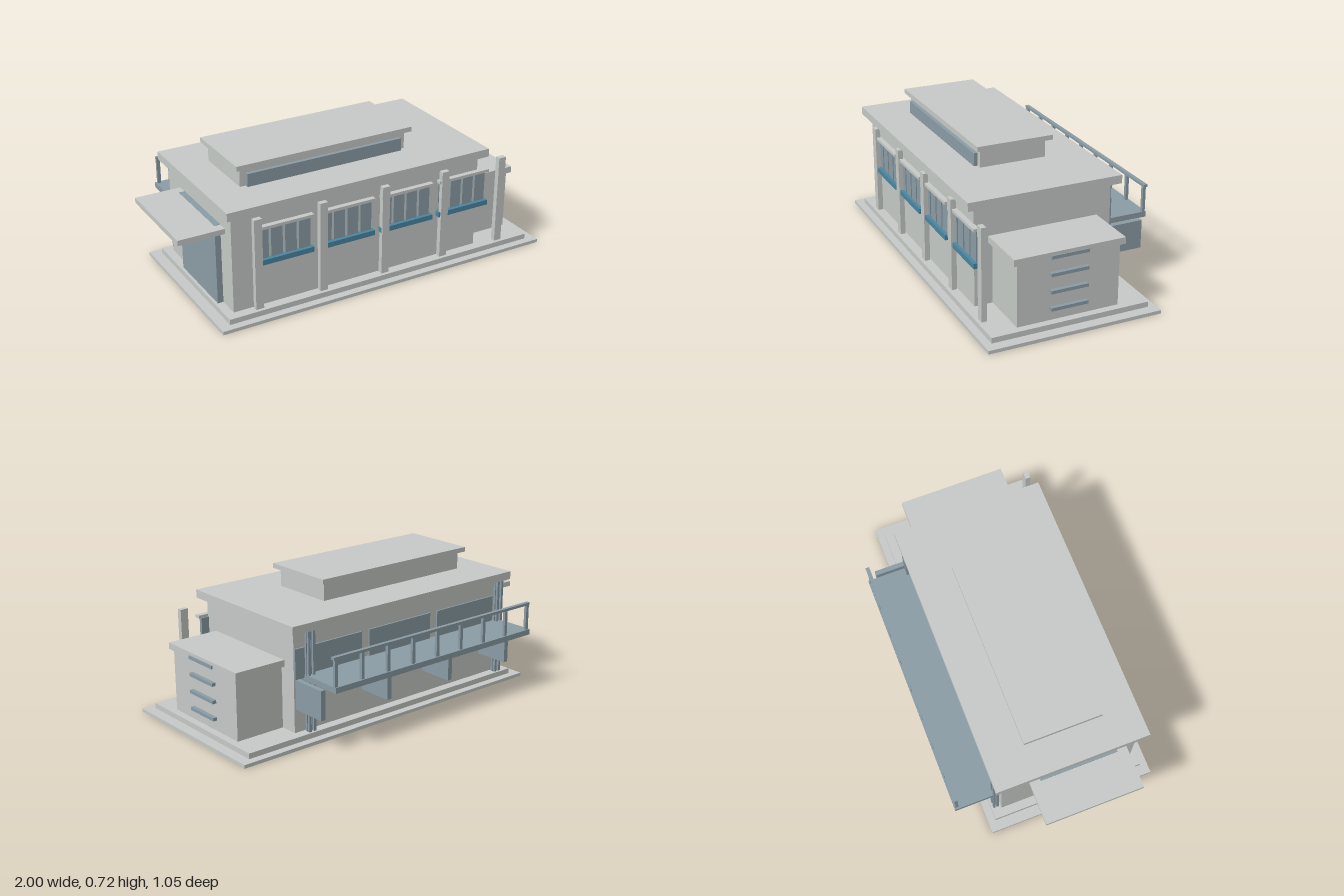
import * as THREE from 'three';

const concrete = new THREE.MeshStandardMaterial({ color: 0xc5c9c6 });
concrete.name = 'pale concrete';
const slate = new THREE.MeshStandardMaterial({ color: 0x8b9ca5 });
slate.name = 'slate blue';
const teal = new THREE.MeshStandardMaterial({ color: 0x4a86a0 });
teal.name = 'teal';

export function createModel() {
  const model = new THREE.Group();
  model.name = 'building';

  // Box given by its limits on each axis
  function block(name, material, [x0, x1], [y0, y1], [z0, z1], parent = model) {
    const mesh = new THREE.Mesh(new THREE.BoxGeometry(x1 - x0, y1 - y0, z1 - z0), material);
    mesh.position.set((x0 + x1) / 2, (y0 + y1) / 2, (z0 + z1) / 2);
    mesh.name = name;
    parent.add(mesh);
  }
  function group(name) {
    const g = new THREE.Group();
    g.name = name;
    model.add(g);
    return g;
  }

  // Stepped plinth
  block('lowerPlinth', concrete, [-0.86, 1], [0, 0.018], [-0.375, 0.525]);
  block('upperPlinth', concrete, [-0.805, 0.945], [0.018, 0.046], [-0.335, 0.485]);

  // Main hall and roof
  block('hallWalls', concrete, [-0.76, 0.64], [0.046, 0.54], [-0.285, 0.434]);
  block('cornice', concrete, [-0.765, 0.645], [0.54, 0.557], [-0.29, 0.442]);
  block('mainRoof', concrete, [-0.797, 0.675], [0.557, 0.6], [-0.327, 0.478]);

  // Raised roof lantern
  block('lanternWalls', concrete, [-0.62, 0.305], [0.6, 0.695], [-0.1, 0.252]);
  block('lanternRoof', concrete, [-0.647, 0.333], [0.695, 0.72], [-0.128, 0.278]);
  block('lanternWindow', slate, [-0.588, 0.276], [0.6, 0.667], [0.252, 0.272]);

  // Side annex with horizontal slats
  block('annexWalls', concrete, [0.64, 0.907], [0.046, 0.366], [-0.19, 0.34]);
  block('annexRoof', concrete, [0.64, 0.921], [0.366, 0.4], [-0.212, 0.362]);
  const slats = group('annexSlats');
  for (let i = 0; i < 4; i++) {
    const y = 0.1 + i * 0.089;
    block('slat', slate, [0.9, 0.928], [y, y + 0.017], [-0.02, 0.175], slats);
  }

  // Side entrance under a canopy
  block('entranceDoor', slate, [-0.79, -0.76], [0.046, 0.469], [-0.09, 0.32]);
  block('entranceCanopy', concrete, [-1, -0.76], [0.44, 0.467], [-0.145, 0.372]);

  // Front columns
  const columns = group('frontColumns');
  for (let i = 0; i < 5; i++) {
    const x = -0.635 + i * 0.3525;
    block('frontColumn', concrete, [x - 0.021, x + 0.021], [0.046, 0.524], [0.44, 0.467], columns);
  }

  // Front window bays: lintel, teal sill and four panes each
  for (let b = 0; b < 4; b++) {
    const end = -0.333 + b * 0.343;
    const bay = group('windowBay');
    block('lintel', concrete, [end - 0.305, end], [0.46, 0.475], [0.43, 0.461], bay);
    block('sill', teal, [end - 0.305, end], [0.273, 0.3], [0.43, 0.461], bay);
    for (let i = 0; i < 4; i++) {
      const x = end - 0.074 - i * 0.075;
      block('pane', slate, [x, x + 0.062], [0.3, 0.46], [0.425, 0.443], bay);
    }
  }

  // Rear windows above the balcony
  for (const x of [-0.7, -0.238, 0.225]) {
    block('rearWindow', slate, [x, x + 0.412], [0.32, 0.473], [-0.294, -0.285]);
  }

  // Balcony slab on bracket fins
  block('balconySlab', slate, [-0.745, 0.582], [0.306, 0.335], [-0.527, -0.285]);
  for (let i = 0; i < 4; i++) {
    const x = 0.617 - i * 0.413;
    block('balconyBracket', slate, [x - 0.013, x + 0.013], [0.166, 0.316], [-0.476, -0.285]);
  }

  // Balcony railing
  const railing = group('balconyRailing');
  block('handrail', slate, [-0.738, 0.59], [0.47, 0.484], [-0.524, -0.504], railing);
  for (let i = 0; i < 9; i++) {
    const x = -0.727 + i * 0.1625;
    block('railPost', slate, [x - 0.009, x + 0.009], [0.33, 0.47], [-0.521, -0.506], railing);
  }

  // Clusters of slim posts carrying the rear eaves
  for (const x of [-0.726, 0.56]) {
    const cluster = group('rearPosts');
    for (const dx of [-0.014, 0.014]) {
      for (const z of [-0.301, -0.318]) {
        block('slimPost', slate, [x + dx - 0.007, x + dx + 0.007], [0.046, 0.557], [z - 0.006, z + 0.006], cluster);
      }
    }
  }

  return model;
}
